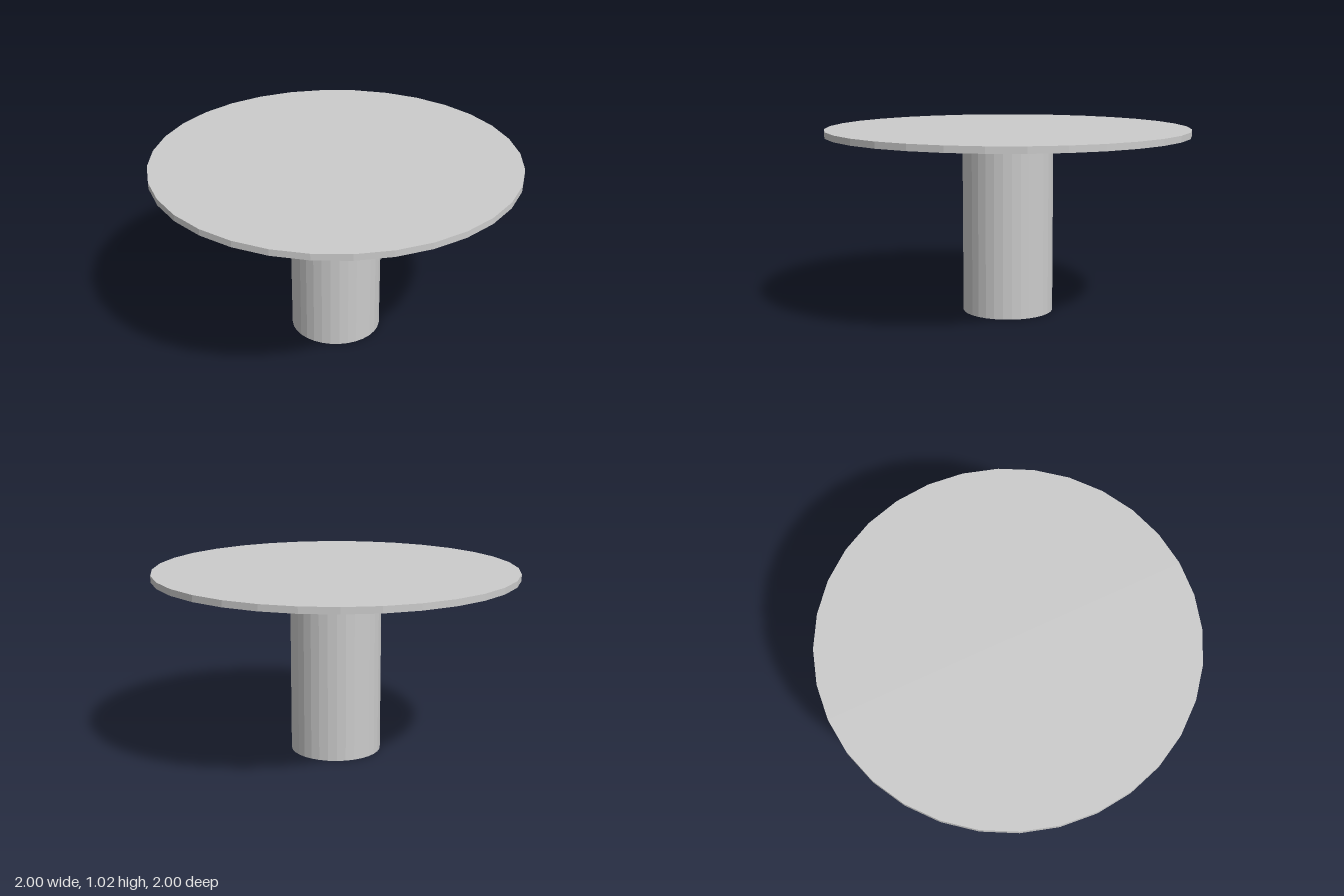
import * as THREE from 'three';

const SIDES = 32;
const HEIGHT = 1.02;
const TOP_THICKNESS = 0.035;

export function createModel() {
  const model = new THREE.Group();
  model.name = 'pedestalTable';
  const material = new THREE.MeshStandardMaterial({ color: 0xcccccc, flatShading: true });

  // Upright faceted disc or column standing on the given height
  const addCylinder = (name, radius, height, bottom) => {
    const mesh = new THREE.Mesh(new THREE.CylinderGeometry(radius, radius, height, SIDES), material);
    mesh.name = name;
    mesh.position.y = bottom + height / 2;
    model.add(mesh);
  };

  // Column from the floor to the underside of the top
  addCylinder('pedestal', 0.25, HEIGHT - TOP_THICKNESS, 0);
  // Thin round top
  addCylinder('tableTop', 1, TOP_THICKNESS, HEIGHT - TOP_THICKNESS);

  return model;
}
